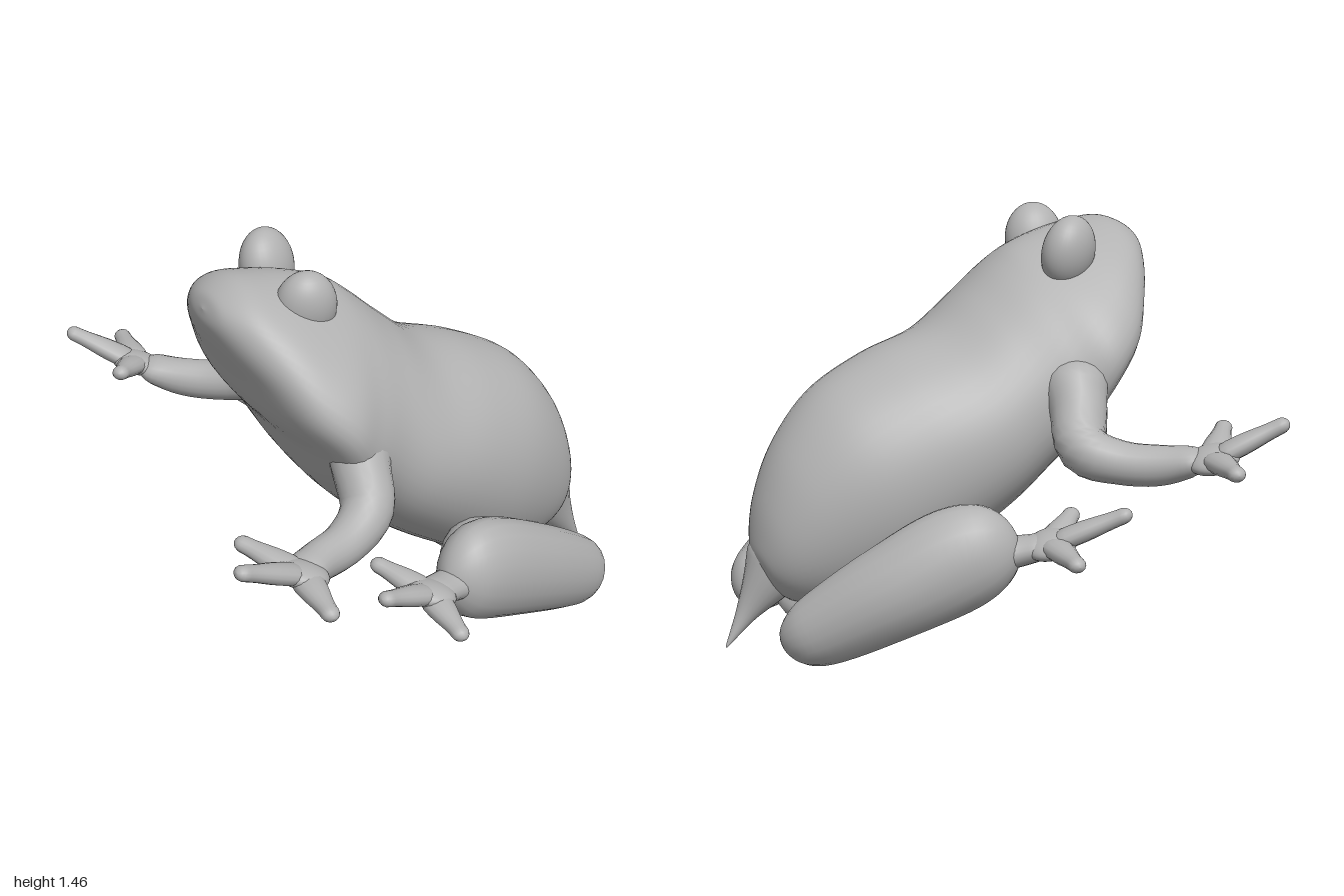
import * as THREE from 'three';

const V = (x, y, z) => new THREE.Vector3(x, y, z);
const skin = new THREE.MeshStandardMaterial({ color: 0xb2b2b2 });
skin.name = 'grey skin';

// Closed skin through rings of points; each ring runs counter-clockwise about the path
function loft(rings) {
  const n = rings[0].length, pos = [], idx = [];
  rings.forEach(r => r.forEach(p => pos.push(p.x, p.y, p.z)));
  for (let i = 0; i < rings.length - 1; i++) {
    for (let j = 0; j < n; j++) {
      const a = i * n + j, b = i * n + (j + 1) % n;
      idx.push(a, b, a + n, b, b + n, a + n);
    }
  }
  const g = new THREE.BufferGeometry();
  g.setAttribute('position', new THREE.Float32BufferAttribute(pos, 3));
  g.setIndex(idx);
  g.computeVertexNormals();
  return g;
}

function add(parent, name, geometry) {
  const m = new THREE.Mesh(geometry, skin);
  m.name = name;
  parent.add(m);
  return m;
}

const spline = pts => new THREE.CatmullRomCurve3(pts, false, 'catmullrom', 0.5);

// Round-ended limb through points [x, y, z, half width, half height]
function limb(pts, steps = 32, sides = 20) {
  const path = spline(pts.map(p => V(p[0], p[1], p[2])));
  const size = spline(pts.map(p => V(p[3], p[4] ?? p[3], 0)));
  const at = [];
  for (let i = 0; i <= steps; i++) at.push((1 - Math.cos(Math.PI * i / steps)) / 2);
  const centres = at.map(t => path.getPoint(t));
  const dist = [0];
  for (let i = 1; i <= steps; i++) dist.push(dist[i - 1] + centres[i].distanceTo(centres[i - 1]));
  return loft(at.map((t, i) => {
    const s = size.getPoint(t), dir = path.getTangent(t);
    const u = V(0, 1, 0).cross(dir).normalize(), v = dir.clone().cross(u);
    const d = Math.min(1, Math.min(dist[i], dist[steps] - dist[i]) / Math.max(s.x, 0.004));
    const k = Math.sqrt(Math.max(0, 1 - (1 - d) ** 2));
    return Array.from({ length: sides }, (_, j) => {
      const a = j / sides * Math.PI * 2;
      return centres[i].clone()
        .addScaledVector(u, s.x * k * Math.cos(a))
        .addScaledVector(v, s.y * k * Math.sin(a));
    });
  }));
}

function ellipsoid(parent, name, c, r, rot = [0, 0, 0]) {
  const m = add(parent, name, new THREE.SphereGeometry(1, 32, 20));
  m.position.set(...c);
  m.scale.set(...r);
  m.rotation.set(...rot);
}

// Flat palm with three splayed digits
function paw(name, palm, tips) {
  const g = new THREE.Group();
  g.name = name;
  ellipsoid(g, 'palm', palm, [0.09, 0.042, 0.09], [-0.3, 0, 0]);
  tips.forEach(t => {
    const mid = f => palm.map((p, i) => p + (t[i] - p) * f);
    add(g, 'digit', limb([[...palm, 0.06, 0.035], [...mid(0.4), 0.048, 0.035],
      [...mid(0.75), 0.032, 0.028], [...t, 0.031, 0.026]], 18, 14));
  });
  return g;
}

// Head and torso: [top z, top y, bottom z, bottom y, half width, jaw flare]
const bodyRings = [
  [-0.88, 0.3, -0.88, 0.3, 0, 0],
  [-0.89, 0.38, -0.83, 0.21, 0.1, 0],
  [-0.865, 0.54, -0.74, 0.15, 0.19, 0],
  [-0.79, 0.72, -0.58, 0.13, 0.275, 0],
  [-0.65, 0.89, -0.41, 0.18, 0.35, 0.03],
  [-0.45, 1.0, -0.22, 0.29, 0.4, 0.05],
  [-0.25, 1.07, -0.04, 0.42, 0.425, 0.08],
  [-0.11, 1.18, 0.1, 0.55, 0.425, 0.14],
  [0, 1.28, 0.21, 0.69, 0.44, 0.28],
  [0.08, 1.34, 0.3, 0.85, 0.435, 0.42],
  [0.2, 1.385, 0.39, 0.97, 0.39, 0.4],
  [0.32, 1.41, 0.45, 1.1, 0.315, 0.3],
  [0.42, 1.42, 0.5, 1.2, 0.22, 0.18],
  [0.5, 1.385, 0.53, 1.28, 0.11, 0.05],
  [0.53, 1.335, 0.53, 1.335, 0, 0],
];

function bodyGeometry(steps = 84, sides = 48) {
  const mid = (z, y) => V(0.16 - 0.243 * z, y, z); // the body heads slightly to its right
  const top = spline(bodyRings.map(r => mid(r[0], r[1])));
  const bottom = spline(bodyRings.map(r => mid(r[2], r[3])));
  const shape = spline(bodyRings.map(r => V(r[4], r[5], 0)));
  const across = V(0.972, 0, 0.236);
  const rings = [];
  for (let i = 0; i <= steps; i++) {
    const t = i / steps, a = top.getPoint(t), b = bottom.getPoint(t), s = shape.getPoint(t);
    const c = a.clone().add(b).multiplyScalar(0.5), v = a.clone().sub(c);
    rings.push(Array.from({ length: sides }, (_, j) => {
      const q = j / sides * Math.PI * 2, h = Math.sin(q);
      const flare = 1 + s.y * (0.6 * Math.min(h, 0) ** 2 - h);
      return c.clone().addScaledVector(v, h)
        .addScaledVector(across, s.x * Math.cos(q) * flare);
    }));
  }
  return loft(rings);
}

export function createModel() {
  const frog = new THREE.Group();
  frog.name = 'frog';
  add(frog, 'body', bodyGeometry());
  ellipsoid(frog, 'pelvis', [0.3, 0.225, -0.52], [0.3, 0.1, 0.29], [-0.39, -0.24, -0.08]);

  // Eye bumps
  ellipsoid(frog, 'rightEye', [-0.085, 1.335, 0.14], [0.085, 0.13, 0.11], [0, 0.24, 0.2]);
  ellipsoid(frog, 'leftEye', [0.24, 1.33, 0.265], [0.085, 0.13, 0.105], [0, -0.5, -0.2]);

  // Pointed tail
  add(frog, 'tail', limb([[0.375, 0.38, -0.74, 0.15], [0.395, 0.25, -0.81, 0.1],
    [0.425, 0.12, -0.895, 0.04], [0.44, 0.005, -0.975, 0.003]]));

  // Arms and hands
  add(frog, 'leftArm', limb([[0.4, 0.98, 0.2, 0.13], [0.505, 0.84, 0.265, 0.1],
    [0.585, 0.73, 0.315, 0.09], [0.62, 0.675, 0.44, 0.075],
    [0.64, 0.67, 0.58, 0.068], [0.68, 0.69, 0.72, 0.075, 0.04]]));
  frog.add(paw('leftHand', [0.685, 0.69, 0.7],
    [[0.46, 0.75, 0.78], [0.692, 0.815, 0.98], [0.92, 0.67, 0.785]]));
  add(frog, 'rightArm', limb([[-0.21, 0.97, 0.05, 0.13], [-0.31, 0.84, -0.015, 0.1],
    [-0.4, 0.73, -0.07, 0.09], [-0.51, 0.69, -0.005, 0.075],
    [-0.63, 0.69, 0.08, 0.068], [-0.76, 0.725, 0.17, 0.075, 0.04]]));
  frog.add(paw('rightHand', [-0.775, 0.725, 0.17],
    [[-1.0, 0.73, 0.06], [-0.945, 0.855, 0.35], [-0.64, 0.79, 0.36]]));

  // Folded hind legs: thigh beside the body, shin outside it, foot in front
  add(frog, 'leftThigh', limb([[0.4, 0.2, -0.6, 0.15, 0.11], [0.55, 0.28, -0.38, 0.15, 0.13],
    [0.68, 0.41, -0.06, 0.12, 0.15]]));
  add(frog, 'leftShin', limb([[0.67, 0.08, -0.755, 0.07, 0.08], [0.69, 0.14, -0.64, 0.11, 0.13],
    [0.72, 0.285, -0.35, 0.13, 0.165], [0.735, 0.405, -0.08, 0.128, 0.178],
    [0.74, 0.455, 0.09, 0.085, 0.12]]));
  add(frog, 'leftAnkle', limb([[0.74, 0.4, -0.04, 0.085, 0.07], [0.745, 0.41, 0.08, 0.07, 0.052],
    [0.77, 0.44, 0.22, 0.075, 0.04]]));
  frog.add(paw('leftFoot', [0.77, 0.44, 0.2],
    [[0.995, 0.4, 0.27], [0.805, 0.545, 0.46], [0.56, 0.5, 0.265]]));

  add(frog, 'rightThigh', limb([[0.25, 0.2, -0.64, 0.15, 0.11], [0, 0.3, -0.54, 0.15, 0.13],
    [-0.26, 0.43, -0.44, 0.12, 0.15]]));
  add(frog, 'rightShin', limb([[0.155, 0.085, -0.935, 0.07, 0.08], [0.045, 0.15, -0.84, 0.125, 0.13],
    [-0.135, 0.29, -0.68, 0.16, 0.165], [-0.29, 0.41, -0.515, 0.145, 0.178],
    [-0.42, 0.475, -0.38, 0.085, 0.12]]));
  add(frog, 'rightAnkle', limb([[-0.34, 0.42, -0.45, 0.085, 0.07], [-0.41, 0.43, -0.37, 0.07, 0.052],
    [-0.5, 0.46, -0.29, 0.075, 0.04]]));
  frog.add(paw('rightFoot', [-0.495, 0.46, -0.3],
    [[-0.73, 0.45, -0.385], [-0.7, 0.58, -0.13], [-0.425, 0.53, -0.135]]));

  return frog;
}
